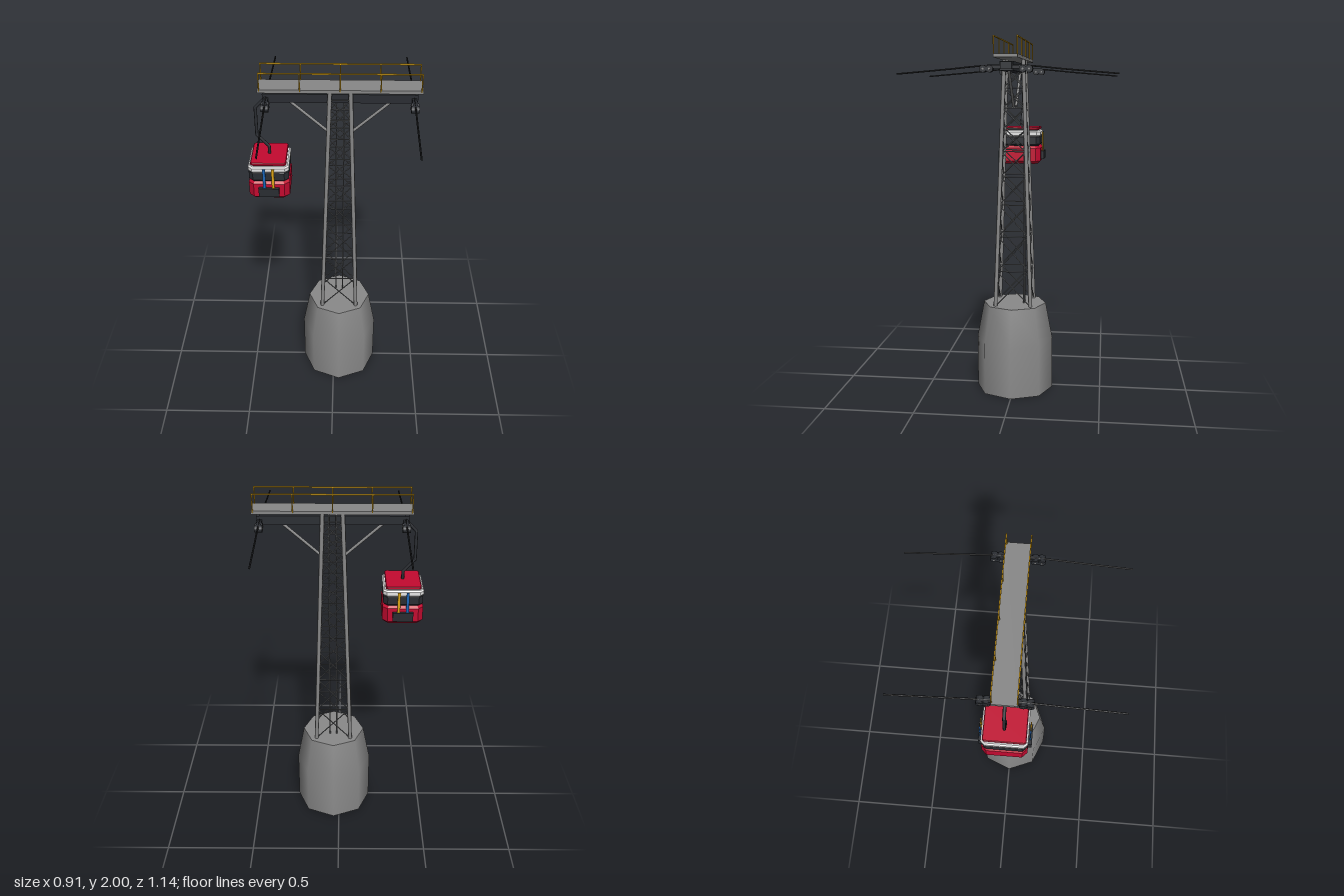
import * as THREE from 'three';

const mat = (name, color) => Object.assign(new THREE.MeshStandardMaterial({ color }), { name });

export function createModel() {
  const M = {
    concrete: mat('concrete', 0x8a8a8a),
    steel: mat('steel', 0x888888),
    brace: mat('braceSteel', 0x6c6e70),
    dark: mat('darkMetal', 0x2a2d32),
    cable: mat('cableBlack', 0x1b1c1e),
    red: mat('red', 0xc40a30),
    white: mat('white', 0xe8e8e8),
    yellow: mat('yellow', 0xdca414),
    blue: mat('blue', 0x1a66b8),
  };
  const model = new THREE.Group();
  const V = (x, y, z) => new THREE.Vector3(x, y, z);
  const group = (name, x = 0, y = 0, z = 0) => {
    const g = new THREE.Group();
    g.name = name;
    g.position.set(x, y, z);
    model.add(g);
    return g;
  };
  const add = (parent, name, geo, material, x = 0, y = 0, z = 0) => {
    const m = new THREE.Mesh(geo, material);
    m.name = name;
    m.position.set(x, y, z);
    parent.add(m);
    return m;
  };
  const box = (p, name, material, w, h, d, x, y, z) =>
    add(p, name, new THREE.BoxGeometry(w, h, d), material, x, y, z);
  // Round bar between two points
  const bar = (p, name, material, a, b, r, sides = 6) => {
    const m = add(p, name, new THREE.CylinderGeometry(r, r, a.distanceTo(b), sides), material);
    m.position.copy(a).add(b).multiplyScalar(0.5);
    m.quaternion.setFromUnitVectors(V(0, 1, 0), b.clone().sub(a).normalize());
  };
  // Block with chamfered upright corners and bevelled top and bottom
  const slab = (p, name, material, w, d, y0, y1, c, bevel) => {
    const a = w / 2 - bevel, b = d / 2 - bevel;
    const s = new THREE.Shape([
      [a, -b + c], [a, b - c], [a - c, b], [-a + c, b],
      [-a, b - c], [-a, -b + c], [-a + c, -b], [a - c, -b],
    ].map(([x, y]) => new THREE.Vector2(x, y)));
    const g = new THREE.ExtrudeGeometry(s, {
      depth: y1 - y0 - 2 * bevel, bevelEnabled: true,
      bevelSize: bevel, bevelThickness: bevel, bevelSegments: 1,
    });
    g.rotateX(-Math.PI / 2);
    add(p, name, g, material, 0, y0 + bevel, 0);
  };

  // Eight-sided concrete footing, smooth around and over the shoulder
  const cx = 0.033;
  const base = group('footing', cx);
  const profile = [[0.22, 0], [0.22, 0.3], [0.18, 0.51]].map(([r, y]) => new THREE.Vector2(r, y));
  add(base, 'footingWall', new THREE.LatheGeometry(profile, 8), M.concrete);
  add(base, 'footingTop', new THREE.CircleGeometry(0.18, 8, Math.PI / 2), M.concrete, 0, 0.51, 0)
    .rotation.x = -Math.PI / 2;
  add(base, 'footingBottom', new THREE.CircleGeometry(0.22, 8, Math.PI / 2), M.concrete)
    .rotation.x = Math.PI / 2;

  // Tapered lattice tower
  const tower = group('tower', cx);
  const half = (y) => THREE.MathUtils.mapLinear(y, 0.51, 1.89, 0.1, 0.053);
  const corners = [[1, 1], [-1, 1], [-1, -1], [1, -1]];
  const at = ([sx, sz], y) => V(sx * half(y), y, sz * half(y));
  const levels = [0.51, 0.71, 0.91, 1.09, 1.25, 1.39, 1.51, 1.63, 1.74, 1.85];
  corners.forEach((c, i) => {
    const n = corners[(i + 1) % 4];
    bar(tower, 'towerLeg', M.steel, at(c, 0.5), at(c, 1.893), 0.011, 8);
    for (let k = 0; k < levels.length - 1; k++) {
      const y0 = levels[k], y1 = levels[k + 1];
      bar(tower, 'diagonalBrace', M.brace, at(c, y0), at(n, y1), 0.003);
      bar(tower, 'diagonalBrace', M.brace, at(n, y0), at(c, y1), 0.003);
      bar(tower, 'crossBrace', M.brace, at(c, y1), at(n, y1), 0.003);
    }
  });

  // Ladder rails inside the back face
  const ladder = group('ladder', cx, 0, -0.055);
  for (const s of [-1, 1])
    bar(ladder, 'ladderRail', M.brace, V(s * 0.02, 0.5, 0), V(s * 0.02, 1.893, 0), 0.004);

  // Cross arm with struts
  const arm = group('crossArm', cx);
  box(arm, 'armBeam', M.dark, 0.76, 0.048, 0.07, 0, 1.85, 0);
  for (const s of [-1, 1])
    bar(arm, 'armStrut', M.steel, V(s * 0.28, 1.835, 0), V(s * 0.06, 1.64, 0), 0.008, 8);

  // Service platform and handrails
  const deck = group('platform', cx);
  box(deck, 'platformDeck', M.steel, 0.84, 0.018, 0.124, 0, 1.9, 0);
  for (const z of [-0.06, 0.06]) {
    for (let i = -2; i <= 2; i++)
      bar(deck, 'railPost', M.yellow, V(i * 0.205, 1.9, z), V(i * 0.205, 1.998, z), 0.0035);
    box(deck, 'handrail', M.yellow, 0.826, 0.006, 0.006, 0, 1.997, z);
  }

  // Sheave trains and sagging cables at both arm ends
  for (const x of [-0.346, 0.41]) {
    const train = group('sheaveTrain', x);
    box(train, 'sheaveBeam', M.dark, 0.024, 0.018, 0.24, 0, 1.845, 0);
    box(train, 'sheaveMount', M.dark, 0.04, 0.036, 0.06, 0, 1.852, 0);
    for (const z of [-0.118, -0.085, 0.085, 0.118]) {
      bar(train, 'sheaveWheel', M.dark, V(-0.02, 1.835, z), V(0.02, 1.835, z), 0.019, 12);
      bar(train, 'sheaveHub', M.steel, V(-0.022, 1.835, z), V(0.022, 1.835, z), 0.005, 8);
    }
    const path = new THREE.CatmullRomCurve3([
      V(0, 1.81, -0.57), V(0, 1.833, -0.3), V(0, 1.851, -0.1),
      V(0, 1.851, 0.1), V(0, 1.833, 0.3), V(0, 1.81, 0.57),
    ]);
    add(train, 'cable', new THREE.TubeGeometry(path, 24, 0.0045, 6), M.cable);
  }

  // Cabin hanger
  const hanger = group('hanger');
  const bends = [[-0.346, 1.845], [-0.408, 1.78], [-0.408, 1.62], [-0.346, 1.55], [-0.346, 1.5]]
    .map(([x, y]) => V(x, y, 0));
  bends.slice(1).forEach((p, i) => {
    bar(hanger, 'hangerArm', M.dark, bends[i], p, 0.0085, 8);
    add(hanger, 'hangerJoint', new THREE.SphereGeometry(0.0085, 8, 6), M.dark, p.x, p.y, 0);
  });

  // Cabin stacked from bevelled blocks
  const cabin = group('cabin', -0.346);
  slab(cabin, 'lowerBody', M.red, 0.22, 0.24, 1.29, 1.4, 0.018, 0.016);
  slab(cabin, 'windowBand', M.dark, 0.214, 0.236, 1.396, 1.462, 0.016, 0.012);
  slab(cabin, 'whiteBand', M.white, 0.218, 0.24, 1.453, 1.488, 0.016, 0.008);
  slab(cabin, 'roofGap', M.dark, 0.17, 0.195, 1.48, 1.497, 0.01, 0.002);
  slab(cabin, 'roof', M.red, 0.19, 0.222, 1.492, 1.508, 0.008, 0.003);

  // Ski racks with a blue and a yellow pair on each end
  for (const s of [-1, 1]) {
    box(cabin, 'skiRack', M.dark, 0.11, 0.05, 0.022, 0, 1.34, s * 0.128);
    box(cabin, 'blueSkis', M.blue, 0.015, 0.125, 0.006, -0.023, 1.418, s * 0.129);
    box(cabin, 'yellowSkis', M.yellow, 0.015, 0.125, 0.006, 0.024, 1.418, s * 0.129);
  }
  return model;
}
